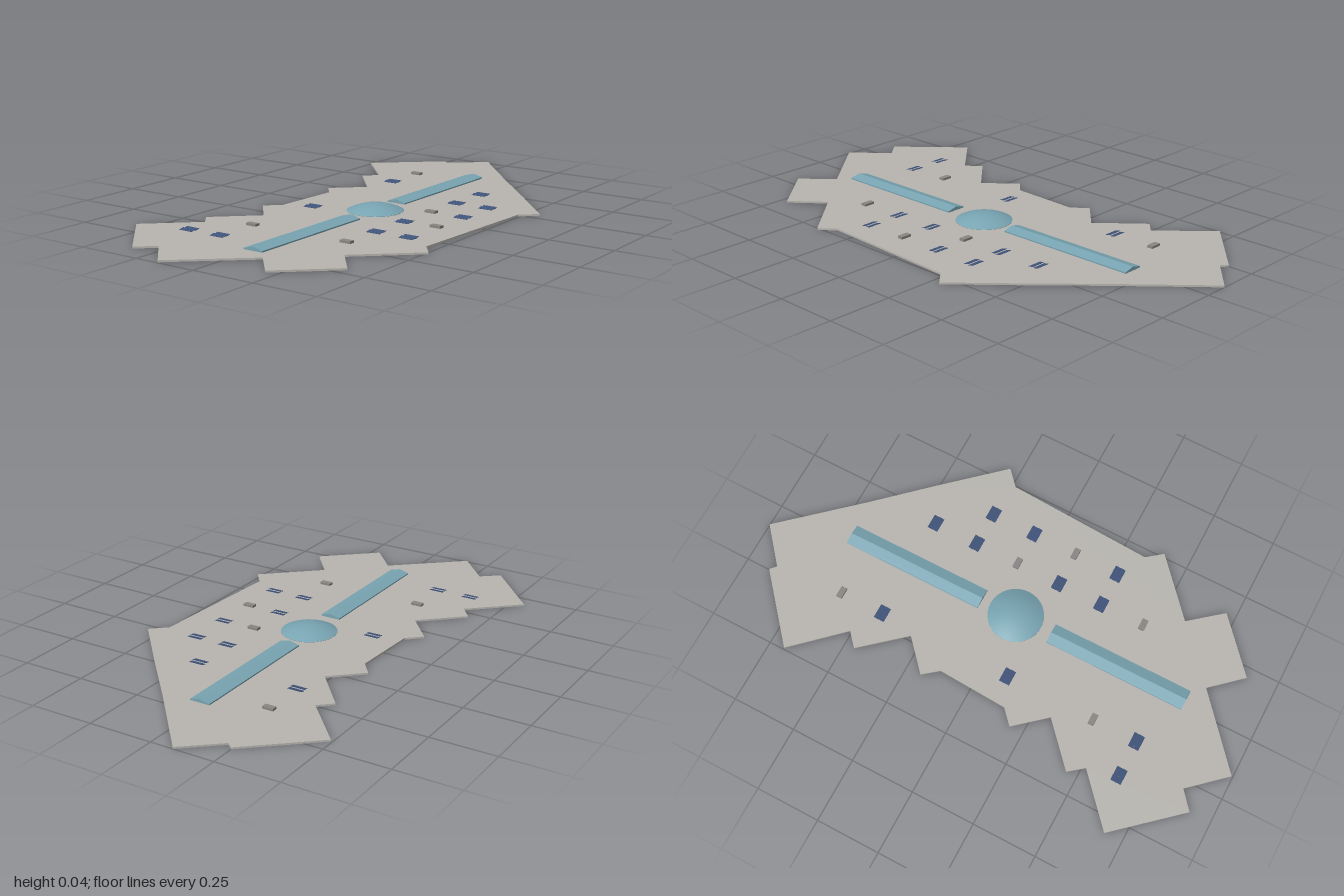
import * as THREE from 'three';

export function createModel() {
  const model = new THREE.Group();
  const mat = (name, color) => {
    const m = new THREE.MeshStandardMaterial({ color });
    m.name = name;
    return m;
  };
  const concrete = mat('roofConcrete', 0xb8b5b0);
  const glass = mat('tealGlass', 0x78a4b2);
  const solarBlue = mat('solarBlue', 0x3f5379);
  const metal = mat('unitGrey', 0x888683);
  const ROOF = 0.007;

  const add = (name, geometry, material, x = 0, y = 0, z = 0, parent = model) => {
    const mesh = new THREE.Mesh(geometry, material);
    mesh.name = name;
    mesh.position.set(x, y, z);
    parent.add(mesh);
    return mesh;
  };

  // Roof slab: stepped outline as [x, z], extruded upward
  const outline = [
    [-0.09, -1], [0.17, -0.71], [0.365, -0.5], [0.555, -0.29], [0.495, -0.235],
    [0.465, 0.34], [0.513, 0.4], [0.302, 0.588], [0.405, 0.712], [0.208, 0.887],
    [0.102, 0.77], [-0.158, 0.995], [-0.281, 0.86], [-0.349, 0.917], [-0.56, 0.68],
    [-0.378, 0.515], [-0.424, 0.457], [-0.268, 0.314], [-0.37, 0.196], [-0.314, 0.144],
    [-0.3, -0.13], [-0.348, -0.19], [-0.232, -0.296], [-0.374, -0.46], [-0.322, -0.507],
    [-0.495, -0.692], [-0.25, -0.905], [-0.226, -0.884],
  ];
  const slabShape = new THREE.Shape(outline.map(([x, z]) => new THREE.Vector2(x, -z)));
  const slab = new THREE.ExtrudeGeometry(slabShape, { depth: ROOF, bevelEnabled: false });
  slab.rotateX(-Math.PI / 2);
  add('roofSlab', slab, concrete);

  // Central dome: a shallow cap on a short upright rim
  const R = 0.107, RIM = 0.009, TOP = 0.035;
  add('domeRim', new THREE.CylinderGeometry(R, R, RIM - 0.001, 32, 1, true), glass,
    0.024, RIM / 2, 0.014);
  const cap = [];
  for (let i = 0; i <= 6; i++) {
    const t = i / 6;
    cap.push(new THREE.Vector2(R * (1 - t), RIM + (TOP - RIM) * (1 - (1 - t) ** 2)));
  }
  add('dome', new THREE.LatheGeometry(cap, 32), glass, 0.024, 0, 0.014);

  // Long gabled skylights, front and back of the dome
  const gable = new THREE.Shape([
    [-0.04, 0.003], [0.04, 0.003], [0.04, 0.012], [0, 0.022], [-0.04, 0.012],
  ].map(([x, y]) => new THREE.Vector2(x, y)));
  for (const [name, z0, z1] of [['backSkylight', -0.697, -0.127], ['frontSkylight', 0.165, 0.725]]) {
    const g = new THREE.ExtrudeGeometry(gable, { depth: z1 - z0, bevelEnabled: false });
    add(name, g, glass, 0.022, 0, z0);
  }

  // Solar arrays: two rows of panels tilted toward the front
  const panel = new THREE.BoxGeometry(0.058, 0.001, 0.021);
  const arrays = [
    [-0.204, -0.434], [0.214, -0.434], [0.214, -0.255], [0.352, -0.255], [0.352, -0.078],
    [-0.204, 0.1], [0.214, 0.1], [0.214, 0.279], [0.352, 0.279], [-0.347, 0.633], [-0.204, 0.633],
  ];
  for (const [x, z] of arrays) {
    const array = new THREE.Group();
    array.name = 'solarArray';
    array.position.set(x, ROOF + 0.0025, z);
    for (const dz of [-0.0105, 0.0105]) {
      add('solarPanel', panel, solarBlue, 0, 0, dz, array).rotation.x = 0.2;
    }
    model.add(array);
  }

  // Rooftop ventilation units
  const unit = new THREE.BoxGeometry(0.044, 0.012, 0.023);
  for (const [x, z] of [[-0.204, -0.611], [0.214, -0.078], [0.352, 0.1], [0.214, 0.455], [-0.204, 0.455]]) {
    add('ventilationUnit', unit, metal, x, 0.01, z);
  }

  return model;
}
